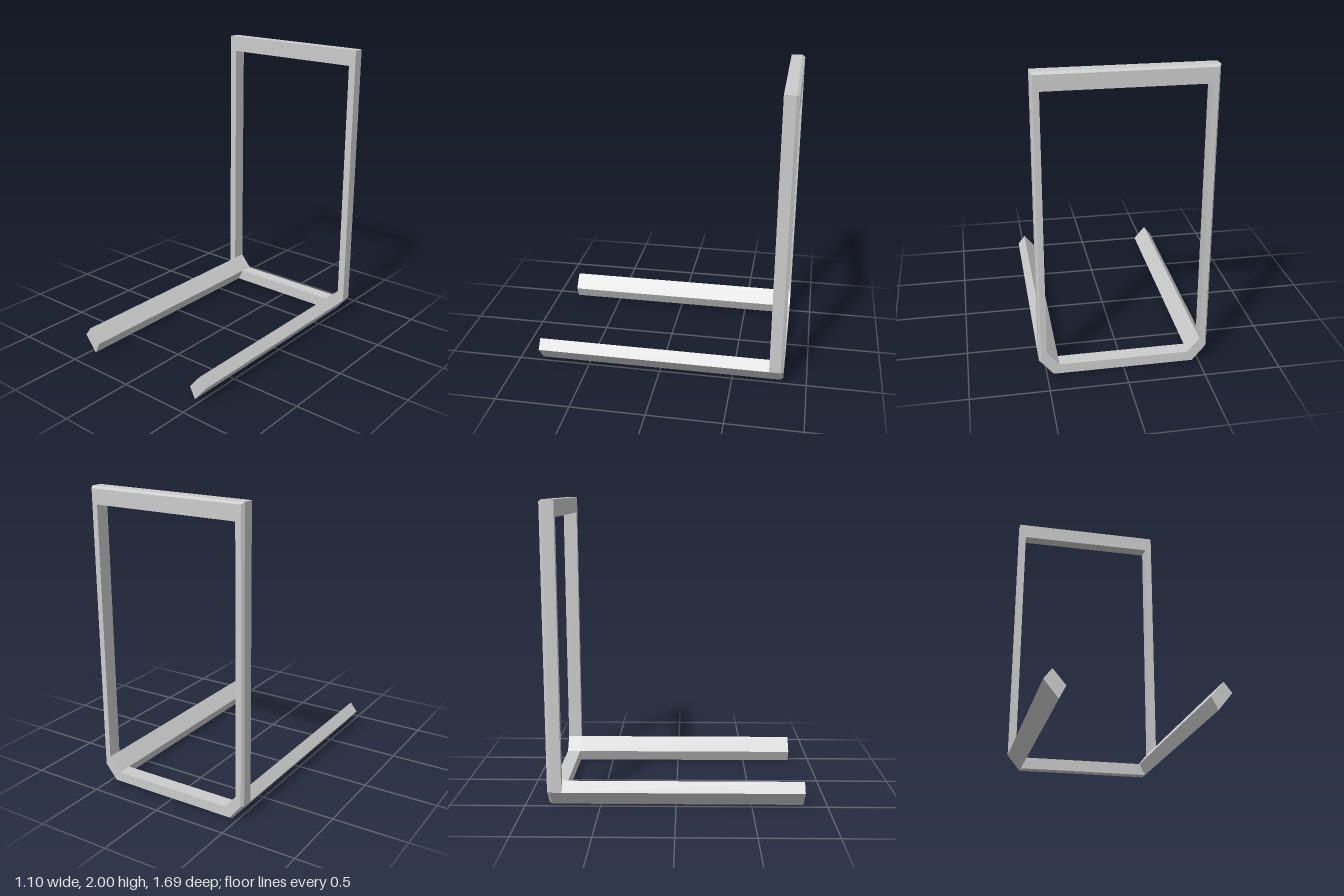
import * as THREE from 'three';

const material = new THREE.MeshStandardMaterial({ color: 0xcccccc, flatShading: true });

// Half outlines (x, y), from the bottom upward; mirrored into closed loops
const mirrored = (half) => [...half, ...half.map(([x, y]) => [-x, y]).reverse()];
const outer = mirrored([[0.46, 0], [0.55, 0.11], [0.55, 2]]);
const bevel = mirrored([[0.454, 0.013], [0.537, 0.114], [0.537, 1.987]]);
const inner = mirrored([[0.42, 0.08], [0.5, 0.175], [0.5, 1.89]]);

// Joins a closed series of rings into a hollow frame
function frameGeometry(rings) {
  const positions = [];
  rings.forEach((ring, i) => {
    const next = rings[(i + 1) % rings.length];
    ring.forEach((a, j) => {
      const k = (j + 1) % ring.length;
      const b = ring[k], c = next[k], d = next[j];
      positions.push(...a, ...d, ...c, ...a, ...c, ...b);
    });
  });
  const geometry = new THREE.BufferGeometry();
  geometry.setAttribute('position', new THREE.Float32BufferAttribute(positions, 3));
  geometry.computeVertexNormals();
  return geometry;
}

export function createModel() {
  const model = new THREE.Group();
  model.name = 'forkCarriage';
  const front = -0.75, shoulder = -0.825, back = -0.845;
  const at = (outline, z) => outline.map(([x, y]) => [x, y, z]);

  // Upright frame with a beveled rear outer edge
  const frame = new THREE.Mesh(frameGeometry([
    at(outer, front), at(outer, shoulder), at(bevel, back), at(inner, back), at(inner, front),
  ]), material);
  frame.name = 'uprightFrame';
  model.add(frame);

  // Slanted prongs running forward from the lower corners
  for (const side of [1, -1]) {
    const section = [[0.46, 0], [0.55, 0.11], [0.5, 0.175], [0.42, 0.08]];
    const shape = new THREE.Shape(section.map(([x, y]) => new THREE.Vector2(side * x, y)));
    const geometry = new THREE.ExtrudeGeometry(shape, { depth: 0.845 - front, bevelEnabled: false });
    geometry.translate(0, 0, front);
    const prong = new THREE.Mesh(geometry, material);
    prong.name = side > 0 ? 'leftProng' : 'rightProng';
    model.add(prong);
  }
  return model;
}
